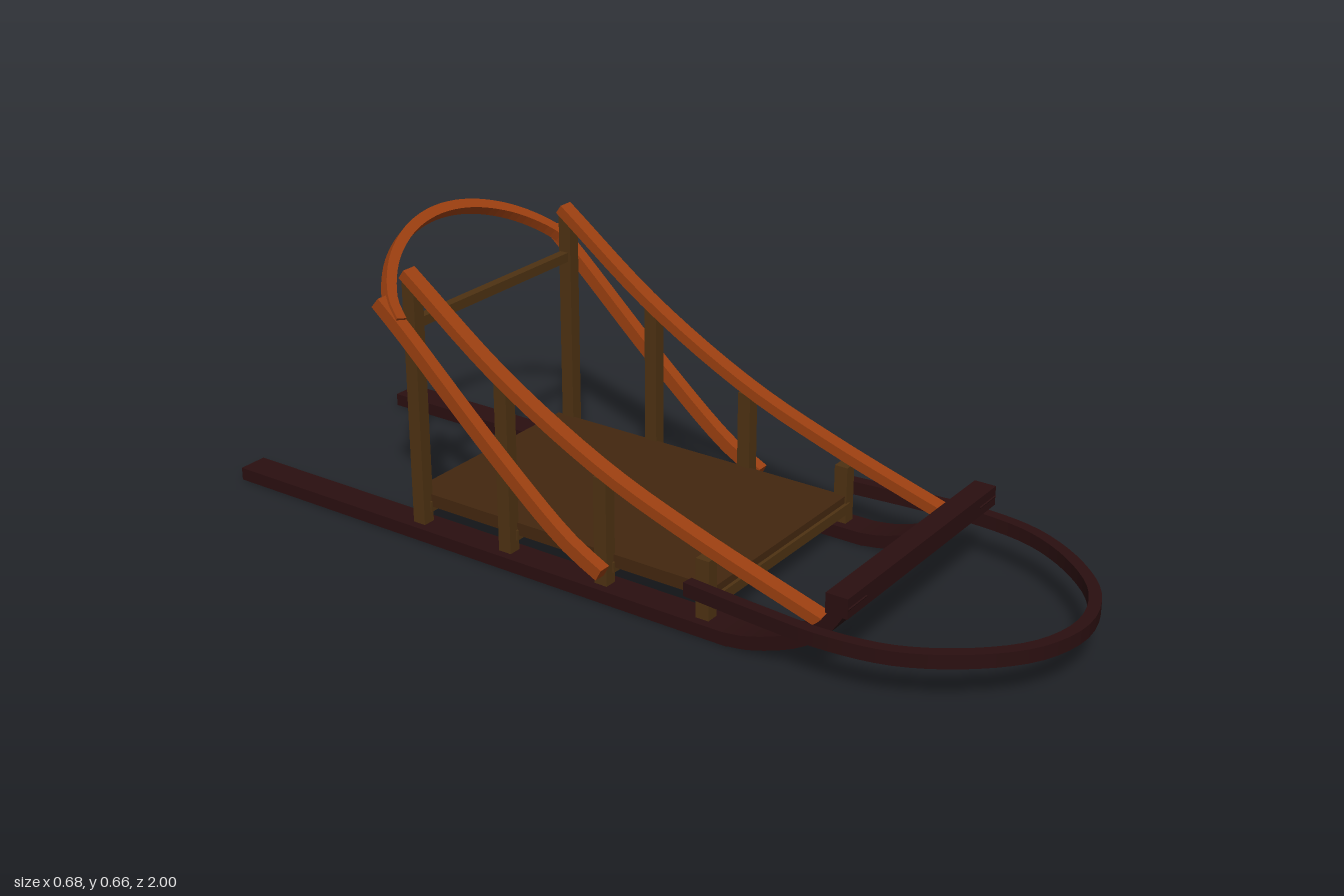
import * as THREE from 'three';

const mat = (name, color, side = THREE.FrontSide) => {
  const m = new THREE.MeshStandardMaterial({ color, side });
  m.name = name;
  return m;
};

// Sweeps a rectangle along a smooth curve; w is measured along the fixed axis, h across it
function sweep(points, axis, w, h, steps) {
  const curve = new THREE.CatmullRomCurve3(points.map(p => new THREE.Vector3(...p)), false, 'centripetal');
  const rings = [];
  for (let i = 0; i <= steps; i++) {
    const c = curve.getPointAt(i / steps), t = curve.getTangentAt(i / steps);
    const b = new THREE.Vector3().crossVectors(t, axis).normalize();
    const a = new THREE.Vector3().crossVectors(b, t).normalize();
    rings.push([[-1, -1], [1, -1], [1, 1], [-1, 1]].map(([u, v]) =>
      c.clone().addScaledVector(a, u * w / 2).addScaledVector(b, v * h / 2)));
  }
  const out = [];
  const quad = (p, q, r, s) => [p, q, r, p, r, s].forEach(v => out.push(v.x, v.y, v.z));
  for (let i = 0; i < steps; i++)
    for (let k = 0; k < 4; k++) {
      const n = (k + 1) % 4;
      quad(rings[i][k], rings[i + 1][k], rings[i + 1][n], rings[i][n]);
    }
  quad(...rings[0]);
  quad(...rings[steps].slice().reverse());
  const g = new THREE.BufferGeometry();
  g.setAttribute('position', new THREE.Float32BufferAttribute(out, 3));
  // Orient all faces outwards whichever way the frame turned
  let volume = 0;
  const [A, B, C] = [0, 1, 2].map(() => new THREE.Vector3());
  const pos = g.attributes.position;
  for (let i = 0; i < pos.count; i += 3) {
    A.fromBufferAttribute(pos, i); B.fromBufferAttribute(pos, i + 1); C.fromBufferAttribute(pos, i + 2);
    volume += A.dot(B.cross(C));
  }
  if (volume < 0)
    for (let i = 0; i < pos.count; i += 3) {
      B.fromBufferAttribute(pos, i + 1); C.fromBufferAttribute(pos, i + 2);
      pos.setXYZ(i + 1, C.x, C.y, C.z);
      pos.setXYZ(i + 2, B.x, B.y, B.z);
    }
  g.computeVertexNormals();
  return g;
}

export function createModel() {
  const group = new THREE.Group();
  group.name = 'dogSled';
  const dark = mat('darkRunnerWood', 0x2a0f10);
  const orange = mat('orangeBentWood', 0x9b3f10);
  const brown = mat('brownPostWood', 0x4e3212);
  const deck = mat('brownDeckWood', 0x43270f);
  const X = new THREE.Vector3(1, 0, 0), Y = new THREE.Vector3(0, 1, 0);

  const add = (name, geometry, material) => {
    const m = new THREE.Mesh(geometry, material);
    m.name = name;
    group.add(m);
    return m;
  };
  const box = (name, material, w, h, d, x, y, z) =>
    add(name, new THREE.BoxGeometry(w, h, d), material).position.set(x, y, z);
  // Mirrors a half path given from the end to the centre point
  const mirrorPath = half => [...half, ...half.slice(0, -1).reverse().map(([x, y, z]) => [-x, y, z])];

  const posts = [[0.288, 0.165], [0.032, 0.275], [-0.225, 0.42], [-0.468, 0.6]];

  for (const [side, s] of [['left', 1], ['right', -1]]) {
    const path = pts => pts.map(([z, y]) => [s * 0.27, y, z]);

    // Runner: straight rear and upturned tip
    box(side + 'Runner', dark, 0.07, 0.03, 1.36, s * 0.27, 0.015, -0.32);
    add(side + 'RunnerTip', sweep(path([[0.35, 0.015], [0.41, 0.024], [0.52, 0.065], [0.58, 0.11], [0.627, 0.18]]),
      X, 0.07, 0.03, 14), dark);

    // Upright posts
    posts.forEach(([z, top], i) =>
      box(side + 'Post' + (i + 1), brown, 0.03, top - 0.03, 0.032, s * 0.27, (top + 0.03) / 2, z));

    // Long curved top rail
    add(side + 'TopRail', sweep(path([[0.575, 0.107], [0.25, 0.207], [0.03, 0.29], [-0.23, 0.43], [-0.482, 0.612]]),
      X, 0.036, 0.024, 20), orange);

    // Handle support outside the posts
    const brace = [[0.05, 0.07], [-0.04, 0.118], [-0.23, 0.272], [-0.47, 0.49], [-0.535, 0.545]];
    add(side + 'HandleBrace', sweep(brace.map(([z, y]) => [s * 0.302, y, z]), X, 0.029, 0.03, 16), orange);
  }

  // Cargo bed with cross beams under it
  box('bed', deck, 0.52, 0.03, 0.8, 0, 0.081, -0.1);
  posts.forEach(([z], i) => box('crossBeam' + (i + 1), brown, 0.53, 0.024, 0.04, 0, 0.067, z));

  // Cross bars
  box('rearCrossBar', brown, 0.53, 0.022, 0.022, 0, 0.499, -0.47);
  box('frontCrossBar', dark, 0.612, 0.044, 0.05, 0, 0.172, 0.612);

  // Front bumper hoop
  add('bumperHoop', sweep(mirrorPath([[0.3, 0.103, 0.262], [0.317, 0.103, 0.45], [0.324, 0.103, 0.6], [0.299, 0.103, 0.74],
    [0.22, 0.103, 0.87], [0.12, 0.103, 0.956], [0, 0.103, 0.987]]), Y, 0.031, 0.026, 56), dark);

  // Tilted handle hoop at the rear
  add('handleHoop', sweep(mirrorPath([[0.303, 0.51, -0.48], [0.288, 0.54, -0.515], [0.25, 0.573, -0.552], [0.19, 0.606, -0.589],
    [0.1, 0.634, -0.62], [0, 0.644, -0.631]]), new THREE.Vector3(0, 0.74, 0.67), 0.026, 0.024, 40), orange);

  return group;
}
